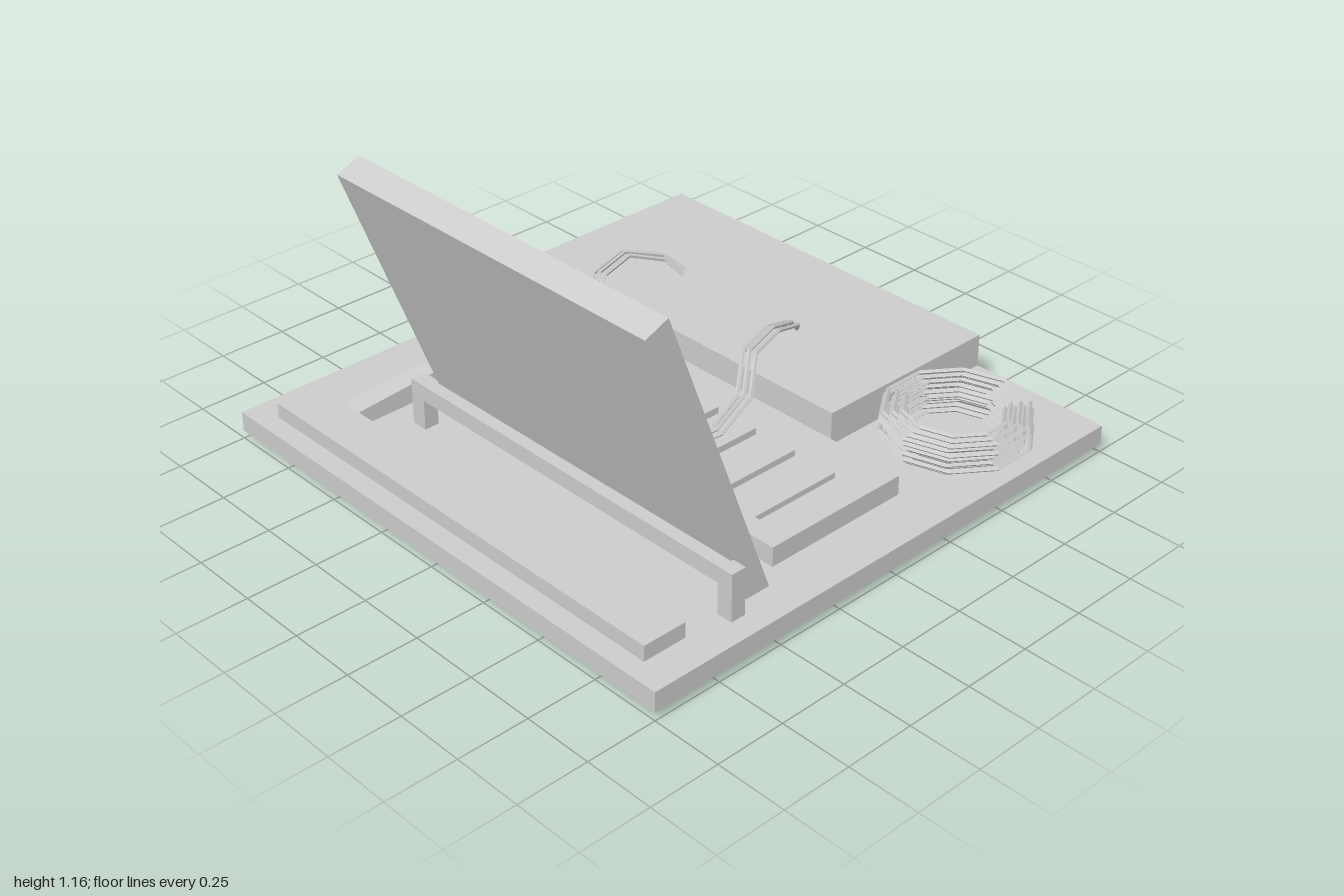
import * as THREE from 'three';

const material = new THREE.MeshStandardMaterial({ color: 0xcccccc, flatShading: true });

// Straight-sided path with one tube ring per corner
class Polyline extends THREE.Curve {
  constructor(points) { super(); this.points = points; }
  getPoint(t, target = new THREE.Vector3()) {
    const s = t * (this.points.length - 1);
    const i = Math.min(Math.floor(s), this.points.length - 2);
    return target.lerpVectors(this.points[i], this.points[i + 1], s - i);
  }
  getPointAt(u, target) { return this.getPoint(u, target); }
  getTangentAt(u, target) { return this.getTangent(u, target); }
}

export function createModel() {
  const model = new THREE.Group();

  const add = (name, geometry, parent = model) => {
    const mesh = new THREE.Mesh(geometry, material);
    mesh.name = name;
    parent.add(mesh);
    return mesh;
  };
  const group = (name) => {
    const g = new THREE.Group();
    g.name = name;
    model.add(g);
    return g;
  };

  // Horizontal slab; rectangles are [x0, x1, z0, z1], holes go right through
  const rect = (path, [x0, x1, z0, z1]) =>
    path.moveTo(x0, -z0).lineTo(x1, -z0).lineTo(x1, -z1).lineTo(x0, -z1).closePath();
  const slab = (name, area, y0, y1, parent, holes = []) => {
    const shape = rect(new THREE.Shape(), area);
    shape.holes = holes.map((h) => rect(new THREE.Path(), h));
    const geometry = new THREE.ExtrudeGeometry(shape, { depth: y1 - y0, bevelEnabled: false });
    geometry.rotateX(-Math.PI / 2).translate(0, y0, 0);
    return add(name, geometry, parent);
  };

  slab('baseBoard', [-1, 1, -1, 1], 0.03, 0.1);
  slab('frontBar', [-0.89, 0.88, 0.77, 0.93], 0.1, 0.155);

  // Tray with seven pockets, its underside showing below the board
  const tray = group('tray');
  const trayArea = [-0.415, 0.81, -0.215, 0.345];
  const pockets = [];
  for (let i = 0; i < 7; i++) {
    const x = -0.392 + i * 0.1755;
    pockets.push([x, x + 0.125, -0.14, 0.27]);
  }
  slab('trayUnderside', trayArea, 0, 0.03, tray);
  slab('trayPockets', trayArea, 0.1, 0.17, tray, pockets);

  // Rear block with a plain recess and a stepped recess
  const block = group('rearBlock');
  const blockArea = [-1, 0.47, -1, -0.27];
  const steppedRecess = [-0.81, -0.325, -0.79, -0.49];
  const plainRecess = [-0.2, 0.285, -0.79, -0.49];
  slab('blockFloor', blockArea, 0.1, 0.16, block);
  slab('blockMiddle', blockArea, 0.16, 0.19, block, [[-0.73, -0.405, -0.74, -0.54]]);
  slab('blockTop', blockArea, 0.19, 0.22, block, [steppedRecess, plainRecess]);

  // Support frame carrying the panel
  const frame = group('supportFrame');
  slab('supportRail', [-0.56, 0.92, 0.57, 0.625], 0.21, 0.268, frame);
  slab('supportLegRight', [-0.56, -0.5, 0.57, 0.625], 0.1, 0.21, frame);
  slab('supportLegLeft', [0.862, 0.92, 0.57, 0.625], 0.1, 0.21, frame);

  // Leaning panel, side profile given as (z, y)
  const profile = [[0.515, 0.1], [0.91, 1.13], [0.825, 1.165], [0.42, 0.1]];
  const side = new THREE.Shape(profile.map(([z, y]) => new THREE.Vector2(-z, y)));
  const panel = new THREE.ExtrudeGeometry(side, { depth: 1.345, bevelEnabled: false });
  panel.rotateY(Math.PI / 2).translate(-0.475, 0, 0);
  add('panel', panel);

  // Winding strip from the rear block to the front bar
  const stations = [ // x centre, z, bottom, top, width
    [-0.73, -0.27, 0.115, 0.2, 0.08],
    [-0.745, -0.07, 0.115, 0.2, 0.075],
    [-0.7, 0.2, 0.115, 0.2, 0.08],
    [-0.675, 0.47, 0.12, 0.198, 0.08],
    [-0.7, 0.77, 0.1, 0.155, 0.08],
  ];
  const strip = new THREE.BoxGeometry(1, 1, 1, 1, 1, stations.length - 1);
  const pos = strip.attributes.position;
  for (let i = 0; i < pos.count; i++) {
    const k = Math.round((pos.getZ(i) + 0.5) * (stations.length - 1));
    const [x, z, y0, y1, width] = stations[k];
    pos.setXYZ(i, x + pos.getX(i) * width, pos.getY(i) > 0 ? y1 : y0, z);
  }
  strip.computeVertexNormals();
  add('windingStrip', strip);

  // Coil of loose ten-sided loops in uneven layers
  const coil = group('wireCoil');
  const layers = [[0.13, 0.222], [0.146, 0.252], [0.161, 0.24], [0.182, 0.23], [0.2, 0.25], [0.217, 0.235], [0.234, 0.24]];
  layers.forEach(([y, radius], i) => {
    for (const inset of [0, 0.032, 0.064]) {
      const loop = new THREE.TorusGeometry(radius - inset, 0.008, 4, 10);
      loop.rotateZ(Math.PI / 2).rotateX(Math.PI / 2);
      loop.translate(0.73 + 0.006 * Math.sin(i * 2.4), y, -0.57 + 0.008 * Math.cos(i * 2.4));
      add('coilLoop', loop, coil);
    }
  });

  // Bundles of three bent wires, from the recesses to the tray
  const bundle = (name, points) => {
    const wires = group(name);
    const path = points.map((p) => new THREE.Vector3(...p));
    for (const offset of [-0.022, 0, 0.022]) {
      const shifted = path.map((p, i) => {
        const a = path[Math.max(i - 1, 0)];
        const b = path[Math.min(i + 1, path.length - 1)];
        const sideways = new THREE.Vector3(b.z - a.z, 0, a.x - b.x).normalize();
        return p.clone().addScaledVector(sideways, offset).setY(p.y - Math.abs(offset) * 0.3);
      });
      add('wire', new THREE.TubeGeometry(new Polyline(shifted), path.length - 1, 0.008, 5), wires);
    }
  };
  bundle('rightWires', [
    [-0.59, 0.19, -0.625], [-0.65, 0.245, -0.58], [-0.69, 0.298, -0.43], [-0.64, 0.298, -0.265],
    [-0.52, 0.23, -0.12], [-0.42, 0.19, 0.01], [-0.31, 0.168, 0.135],
  ]);
  bundle('leftWires', [
    [-0.04, 0.19, -0.605], [0, 0.245, -0.57], [0.045, 0.298, -0.43], [0.1, 0.298, -0.265],
    [0.21, 0.23, -0.13], [0.25, 0.19, 0.03], [0.215, 0.168, 0.15],
  ]);

  return model;
}
